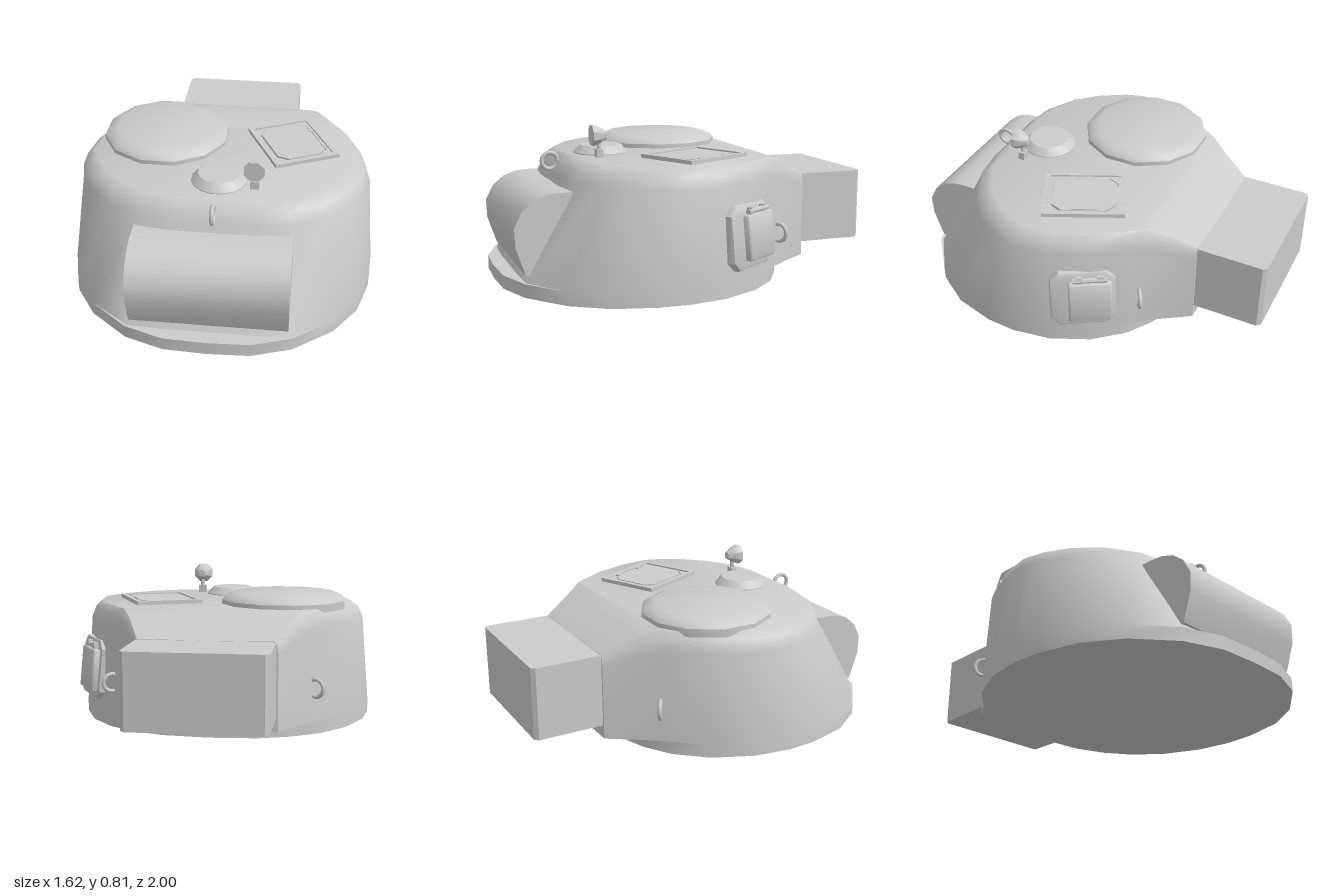
import * as THREE from 'three';
import { toCreasedNormals } from 'three/addons/utils/BufferGeometryUtils.js';
import { RoundedBoxGeometry } from 'three/addons/geometries/RoundedBoxGeometry.js';

const grey = new THREE.MeshStandardMaterial({ color: 0xcccccc });
const ROOF = 0.645;

function add(parent, name, geometry, x = 0, y = 0, z = 0, ry = 0, crease = 0.7) {
  const mesh = new THREE.Mesh(crease ? toCreasedNormals(geometry, crease) : geometry, grey);
  mesh.name = name;
  mesh.position.set(x, y, z);
  mesh.rotation.y = ry;
  parent.add(mesh);
  return mesh;
}

const polygon = (pts) => new THREE.Shape(pts.map(([a, b]) => new THREE.Vector2(a, b)));
const extrude = (shape, depth) => new THREE.ExtrudeGeometry(shape, { depth, bevelEnabled: false });
const lathe = (pts, sides) =>
  new THREE.LatheGeometry(pts.map(([r, y]) => new THREE.Vector2(r, y)), sides, Math.PI / sides);

// Rectangle outline with cut corners
function cutRect(w, h, c) {
  const a = w / 2, b = h / 2;
  return [[-a + c, -b], [a - c, -b], [a, -b + c], [a, b - c], [a - c, b], [-a + c, b], [-a, b - c], [-a, -b + c]];
}

// Hull lofted from half outlines, each running from the front centre to the rear centre
function hullGeometry() {
  const base = [[0, 1], [0.22, 0.99], [0.42, 0.92], [0.62, 0.76], [0.74, 0.58], [0.8, 0.36], [0.81, 0.2],
    [0.78, 0], [0.69, -0.2], [0.56, -0.35], [0.42, -0.44], [0.25, -0.5], [0, -0.52]];
  const wall = [[0, 0.92], [0.22, 0.92], [0.41, 0.91], ...base.slice(3, 9),
    [0.55, -0.37], [0.47, -0.47], [0.36, -0.635], [0, -0.64]];
  const shoulder = [[0, 0.67], [0.2, 0.67], [0.38, 0.645], [0.55, 0.55], [0.67, 0.43], [0.74, 0.3], [0.77, 0.17],
    [0.745, 0], [0.66, -0.2], [0.53, -0.37], [0.46, -0.47], [0.36, -0.635], [0, -0.64]];
  const curve = [[0, 0.645], [0.2, 0.645], [0.365, 0.62], [0.53, 0.53], [0.645, 0.41], [0.715, 0.28], [0.745, 0.16],
    [0.72, 0], [0.64, -0.2], [0.51, -0.38], [0.445, -0.47], [0.355, -0.635], [0, -0.64]];
  const roof = [[0, 0.6], [0.2, 0.6], [0.34, 0.57], [0.49, 0.48], [0.6, 0.37], [0.67, 0.25], [0.7, 0.15],
    [0.675, 0], [0.6, -0.2], [0.47, -0.39], [0.42, -0.47], [0.345, -0.635], [0, -0.64]];
  // The last three points drop towards the rear
  const level = (half, y, rear = [y, y, y]) =>
    half.map(([x, z], i) => new THREE.Vector3(x, i > 9 ? rear[i - 10] : y, z));
  const halves = [level(base, 0), level(base, 0.07), level(wall, 0.07),
    level(shoulder, 0.55, [0.53, 0.46, 0.46]), level(curve, 0.61, [0.58, 0.5, 0.5]),
    level(roof, ROOF, [0.608, 0.523, 0.52])];
  const mirror = (p) => new THREE.Vector3(-p.x, p.y, p.z);
  const rings = halves.map((h) => [...h, ...h.slice(1, -1).reverse().map(mirror)]);

  const pos = [];
  const tri = (a, b, c) => {
    const area = b.clone().sub(a).cross(c.clone().sub(a)).length();
    if (area > 1e-7) for (const p of [a, b, c]) pos.push(p.x, p.y, p.z);
  };
  const quad = (a, b, c, d) => { tri(a, b, c); tri(a, c, d); };
  for (let r = 0; r < rings.length - 1; r++) {
    const lo = rings[r], hi = rings[r + 1], n = lo.length;
    for (let i = 0; i < n; i++) quad(lo[i], lo[(i + 1) % n], hi[(i + 1) % n], hi[i]);
  }
  const bottom = halves[0], top = halves[halves.length - 1];
  for (let i = 0; i < top.length - 1; i++) {
    quad(mirror(top[i]), top[i], top[i + 1], mirror(top[i + 1]));
    quad(mirror(bottom[i + 1]), bottom[i + 1], bottom[i], mirror(bottom[i]));
  }
  const g = new THREE.BufferGeometry();
  g.setAttribute('position', new THREE.Float32BufferAttribute(pos, 3));
  return g;
}

export function createModel() {
  const model = new THREE.Group();
  model.name = 'turret';
  add(model, 'hull', hullGeometry());

  // Curved gun shield, profile in z and y
  const shield = extrude(polygon([[0.86, 0.105], [0.91, 0.105], [0.958, 0.25], [0.962, 0.35], [0.92, 0.43],
    [0.86, 0.48], [0.79, 0.505], [0.72, 0.51], [0.66, 0.51]]), 0.8);
  shield.translate(0, 0, -0.4).rotateY(-Math.PI / 2);
  add(model, 'gunShield', shield);

  // Rear stowage box with cut outer corners
  const box = extrude(polygon([[-0.35, -0.6], [-0.35, -0.98], [-0.33, -1], [0.33, -1], [0.35, -0.98], [0.35, -0.6]]), 0.38);
  box.rotateX(Math.PI / 2);
  add(model, 'rearBox', box, 0, 0.52, 0, 0, 0.3);

  // Round roof fittings
  add(model, 'cupola', lathe([[0.341, -0.02], [0.341, 0.022], [0.325, 0.04], [0.27, 0.063], [0, 0.065]], 12), -0.34, ROOF, -0.03);
  add(model, 'ventilator', lathe([[0.145, -0.01], [0.145, 0.005], [0.11, 0.044], [0, 0.045]], 16), 0, ROOF, 0.405);

  // Square roof hatch: frame, recessed rim and lid
  const hatch = new THREE.Group();
  hatch.name = 'roofHatch';
  hatch.position.set(0.35, ROOF, 0);
  hatch.rotation.y = 0.44;
  model.add(hatch);
  const slab = (outer, inner, h) => {
    const shape = polygon(outer);
    if (inner) shape.holes.push(polygon(inner));
    return extrude(shape, h).rotateX(-Math.PI / 2);
  };
  add(hatch, 'hatchFrame', slab(cutRect(0.36, 0.425, 0.001), cutRect(0.31, 0.375, 0.001), 0.02));
  add(hatch, 'hatchRim', slab(cutRect(0.31, 0.375, 0.001), cutRect(0.28, 0.345, 0.045), 0.012));
  add(hatch, 'hatchLid', slab(cutRect(0.268, 0.333, 0.045), null, 0.016));
  for (const s of [-1, 1]) add(hatch, 'hatchHinge', new THREE.BoxGeometry(0.02, 0.02, 0.05), 0.14, 0.01, s * 0.09);

  // Spotlight on a small post
  const lamp = new THREE.Group();
  lamp.name = 'spotlight';
  lamp.position.set(0.185, ROOF, 0.465);
  model.add(lamp);
  add(lamp, 'lampBase', new THREE.BoxGeometry(0.045, 0.045, 0.035), 0, 0.02, 0);
  add(lamp, 'lampPost', new THREE.CylinderGeometry(0.011, 0.011, 0.08, 8), 0, 0.07, 0);
  const head = lathe([[0, -0.04], [0.022, -0.038], [0.045, 0], [0.056, 0.025], [0.056, 0.042], [0, 0.042]], 8);
  add(lamp, 'lampHead', head.rotateX(Math.PI / 2), 0, 0.115, 0);

  // Side port on the left wall
  const port = new THREE.Group();
  port.name = 'sidePort';
  port.position.set(0.69, 0.29, -0.16);
  port.rotation.set(-0.1, 2.12, 0, 'YXZ');
  model.add(port);
  const plate = new THREE.ExtrudeGeometry(polygon(cutRect(0.3, 0.29, 0.035)),
    { depth: 0.03, bevelEnabled: true, bevelThickness: 0.02, bevelSize: 0.018, bevelSegments: 2 });
  add(port, 'portPlate', plate, 0, 0, -0.025);
  add(port, 'portLid', new RoundedBoxGeometry(0.22, 0.23, 0.06, 2, 0.012), 0.035, -0.005, 0.03);
  for (const s of [-1, 1]) add(port, 'portHinge', new THREE.BoxGeometry(0.035, 0.06, 0.04), 0.035 + s * 0.055, 0.115, 0.03);
  const pin = new THREE.CylinderGeometry(0.014, 0.014, 0.17, 8).rotateZ(Math.PI / 2);
  add(port, 'portHingePin', pin, 0.035, 0.125, 0.04);

  // Lifting eyes
  const eye = (x, y, z, ry, r) =>
    add(model, 'liftingEye', new THREE.TorusGeometry(r, 0.011, 8, 16), x, y, z, ry, 0);
  eye(0, 0.612, 0.685, Math.PI / 2, 0.043);
  for (const s of [-1, 1]) eye(s * 0.535, 0.25, -0.405, s > 0 ? 0.55 : Math.PI - 0.55, 0.046);

  return model;
}
